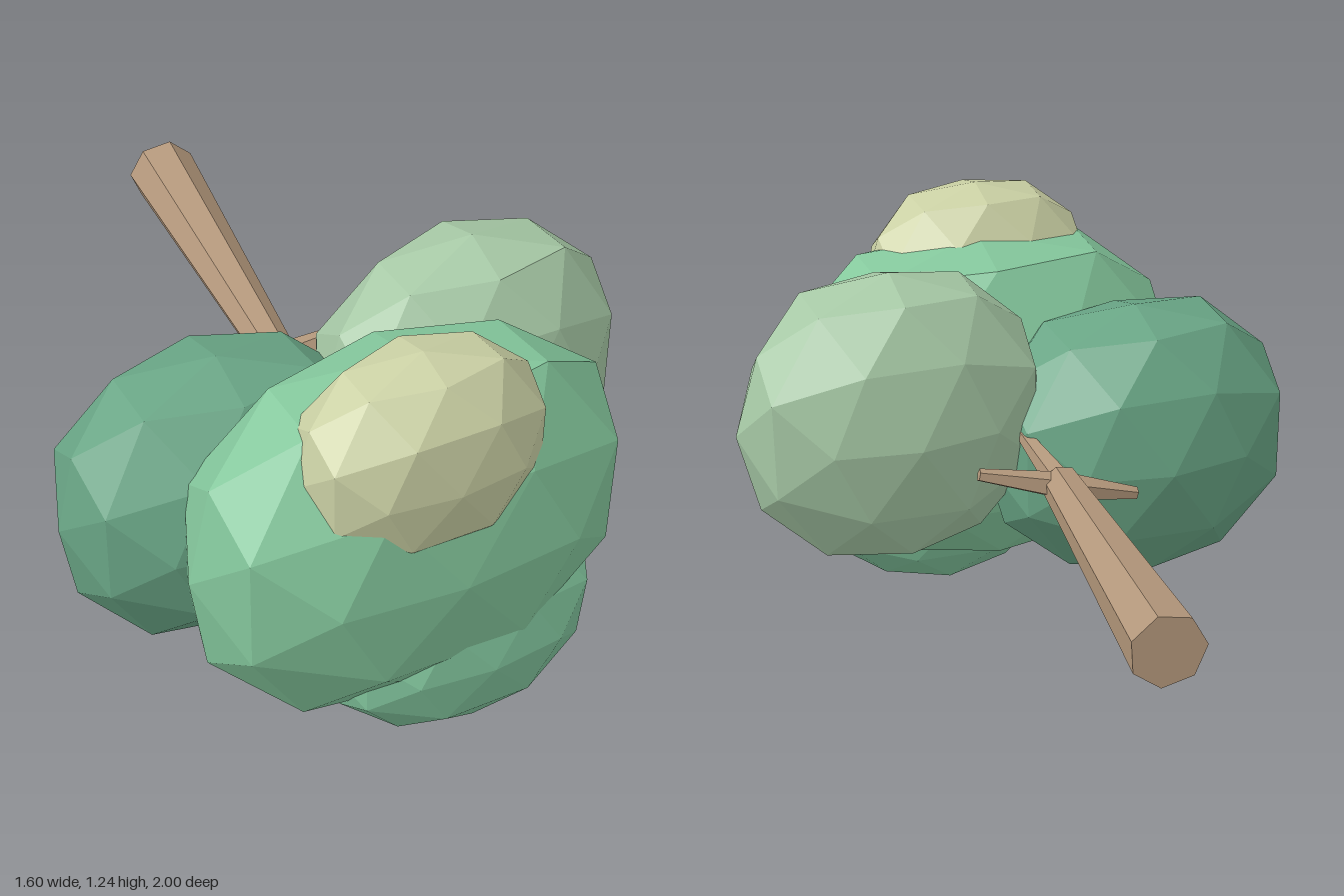
import * as THREE from 'three';

const material = (color) => new THREE.MeshStandardMaterial({ color, flatShading: true });

// Faceted foliage clump: an icosphere swollen towards a box (power above 2),
// pulled out along each bulge [x, y, z, amount] and squashed to its radii
function clump(name, color, center, radii, power, bulges) {
  const geo = new THREE.IcosahedronGeometry(1, 1).rotateX(Math.PI / 2);
  const pos = geo.attributes.position;
  const v = new THREE.Vector3();
  for (let i = 0; i < pos.count; i++) {
    v.fromBufferAttribute(pos, i);
    const sum = v.toArray().reduce((s, c) => s + Math.abs(c) ** power, 0);
    let size = 1 / sum ** (1 / power) + 0.015 * Math.sin(v.x * 7 + v.y * 11 + v.z * 5);
    for (const [x, y, z, amount] of bulges) {
      const facing = v.dot(new THREE.Vector3(x, y, z).normalize());
      size += amount * Math.max(0, facing) ** 10;
    }
    v.multiplyScalar(size);
    pos.setXYZ(i, v.x, v.y, v.z);
  }
  geo.scale(...radii);
  geo.computeVertexNormals();
  const mesh = new THREE.Mesh(geo, material(color));
  mesh.name = name;
  mesh.position.set(...center);
  return mesh;
}

// Tapered prism from point a (radius ra) to point b (radius rb)
function limb(name, mat, a, b, ra, rb, sides, twist = 0) {
  const from = new THREE.Vector3(...a);
  const dir = new THREE.Vector3(...b).sub(from);
  const geo = new THREE.CylinderGeometry(rb, ra, dir.length(), sides);
  geo.rotateY(twist).translate(0, dir.length() / 2, 0);
  const mesh = new THREE.Mesh(geo, mat);
  mesh.name = name;
  mesh.position.copy(from);
  mesh.quaternion.setFromUnitVectors(new THREE.Vector3(0, 1, 0), dir.normalize());
  return mesh;
}

export function createModel() {
  const tree = new THREE.Group();
  tree.name = 'fallenTree';

  // Trunk lying along z, thick end at the back
  const bark = material(0xb3977b);
  tree.add(limb('trunk', bark, [0.1, 0.675, -0.995], [0, 0.642, -0.02], 0.1, 0.055, 7, THREE.MathUtils.degToRad(107)));

  // Branches spreading from the thin end of the trunk
  const tips = [[0.23, 0.7, 0], [-0.21, 0.59, -0.05], [0.04, 0.715, 0.2], [0.03, 0.55, 0.2]];
  const branches = new THREE.Group();
  branches.name = 'branches';
  tips.forEach((tip, i) =>
    branches.add(limb('branch' + (i + 1), bark, [0, 0.642, -0.035], tip, 0.04, 0.018, 5)));
  tree.add(branches);

  // Foliage
  tree.add(
    clump('rightFoliage', 0x69a585, [-0.345, 0.595, 0.3], [0.455, 0.405, 0.3], 2.2,
      [[-0.55, 0.85, 0, 0.05], [-0.5, -0.85, 0, 0.08]]),
    clump('leftFoliage', 0xa6c8a5, [0.36, 0.755, 0.35], [0.44, 0.425, 0.27], 2.15,
      [[0.55, -0.85, 0, 0.06], [0.85, 0, -0.5, 0.05]]),
    clump('mainFoliage', 0x84c79c, [0, 0.63, 0.665], [0.61, 0.5, 0.33], 2.3,
      [[-0.5, -0.85, 0, 0.1], [0.85, 0.53, 0, 0.04], [-0.5, 0.85, 0, 0.05]]),
    clump('lowerFoliage', 0x80c39b, [0.11, 0.285, 0.76], [0.385, 0.285, 0.215], 2.15,
      [[0.8, 0.6, 0.1, 0.16], [0.6, -0.8, 0, -0.08]]),
    clump('upperFoliage', 0xcad0a4, [-0.04, 0.945, 0.79], [0.345, 0.295, 0.21], 2.2,
      [[0, 0.5, 0.85, 0.06]]),
  );
  return tree;
}
